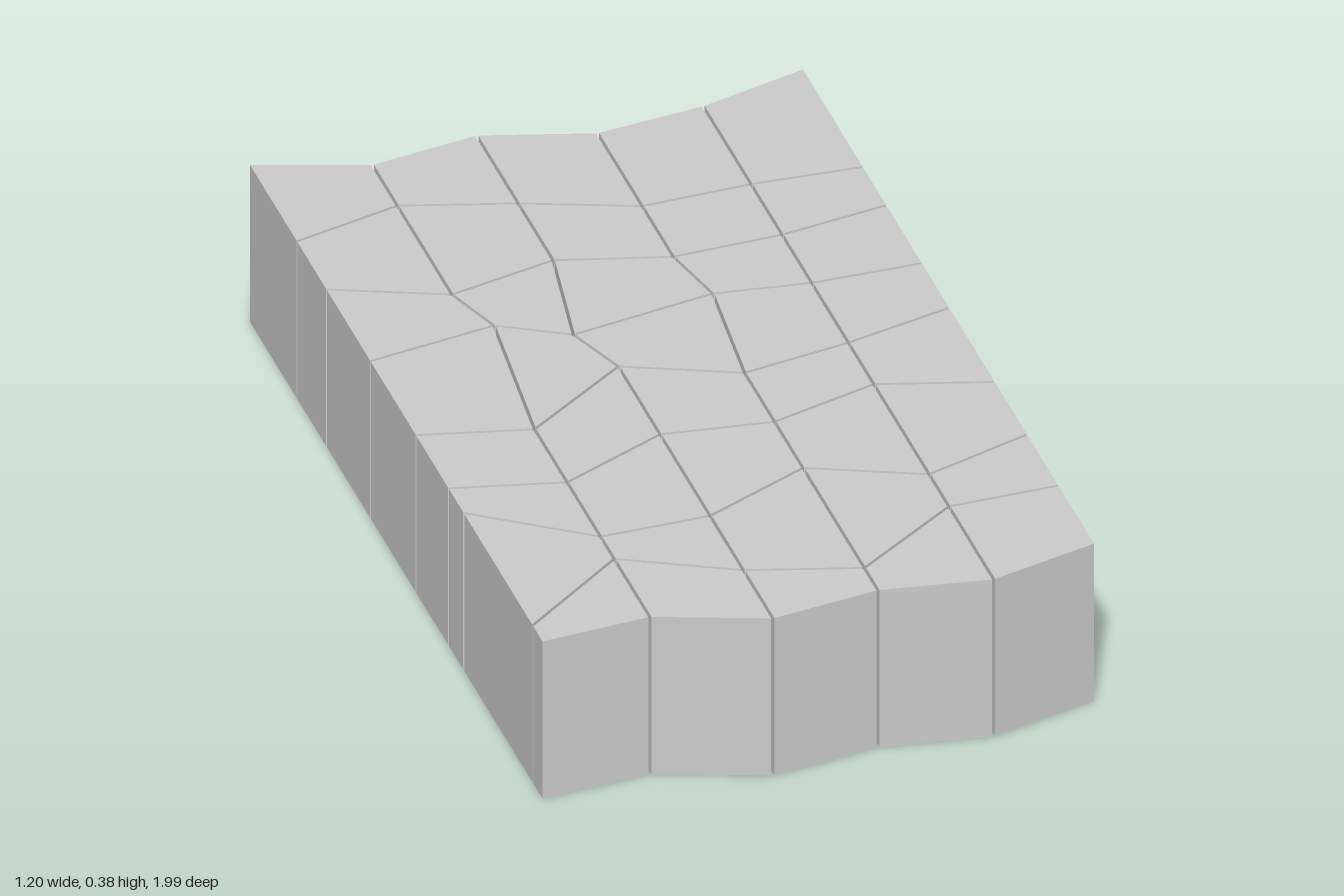
import * as THREE from 'three';

const HEIGHT = 0.385;
const GAP = 0.0035; // half of the joint between stones

// Joint corners: one list of z values per column line, back to front
const lineX = [-0.6, -0.36, -0.12, 0.12, 0.36, 0.6];
const lineZ = [
  [-1.0, -0.69, -0.495, -0.205, 0.095, 0.31, 0.41, 0.865, 0.93],
  [-0.92, -0.755, -0.395, -0.255, 0.15, 0.365, 0.585, 0.675, 0.91],
  [-0.96, -0.685, -0.455, -0.17, -0.025, 0.25, 0.58, 0.8, 0.995],
  [-0.89, -0.595, -0.39, -0.23, 0.08, 0.278, 0.465, 0.87, 0.96],
  [-0.92, -0.605, -0.4, -0.205, 0.037, 0.205, 0.57, 0.7, 0.995],
  [-0.99, -0.595, -0.44, -0.205, -0.025, 0.275, 0.488, 0.695, 0.93],
];
const ROWS = 8, COLS = 5;
// Sideways shift of the corners on the fourth row of joints
const shiftX = [0, 0.045, -0.05, 0.033, 0, 0];

// Corner in plan, with plan y pointing to the back
const corner = (c, r) =>
  new THREE.Vector2(lineX[c] + (r === 3 ? shiftX[c] : 0), -lineZ[c][r]);

// Move every edge of a counter-clockwise outline inwards and rejoin the edges
function inset(points, amounts) {
  const n = points.length;
  const edges = points.map((p, i) => {
    const dir = points[(i + 1) % n].clone().sub(p).normalize();
    const origin = p.clone().add(new THREE.Vector2(-dir.y, dir.x).multiplyScalar(amounts[i]));
    return { origin, dir };
  });
  return edges.map((e, i) => {
    const prev = edges[(i + n - 1) % n];
    const t = e.origin.clone().sub(prev.origin).cross(e.dir) / prev.dir.cross(e.dir);
    return prev.origin.clone().addScaledVector(prev.dir, t);
  });
}

export function createModel() {
  const group = new THREE.Group();
  group.name = 'pavingBlock';
  const material = new THREE.MeshStandardMaterial({ color: 0xcccccc, flatShading: true });

  // One upright prism per stone; outer faces stay flush, inner ones leave a joint
  for (let c = 0; c < COLS; c++) {
    for (let r = 0; r < ROWS; r++) {
      const outline = inset(
        [corner(c, r + 1), corner(c + 1, r + 1), corner(c + 1, r), corner(c, r)],
        [r === ROWS - 1 ? 0 : GAP, c === COLS - 1 ? 0 : GAP, r === 0 ? 0 : GAP, c === 0 ? 0 : GAP],
      );
      const geometry = new THREE.ExtrudeGeometry(new THREE.Shape(outline), {
        depth: HEIGHT,
        bevelEnabled: false,
      });
      geometry.rotateX(-Math.PI / 2);
      const stone = new THREE.Mesh(geometry, material);
      stone.name = `stoneColumn${c + 1}Row${r + 1}`;
      group.add(stone);
    }
  }
  return group;
}
